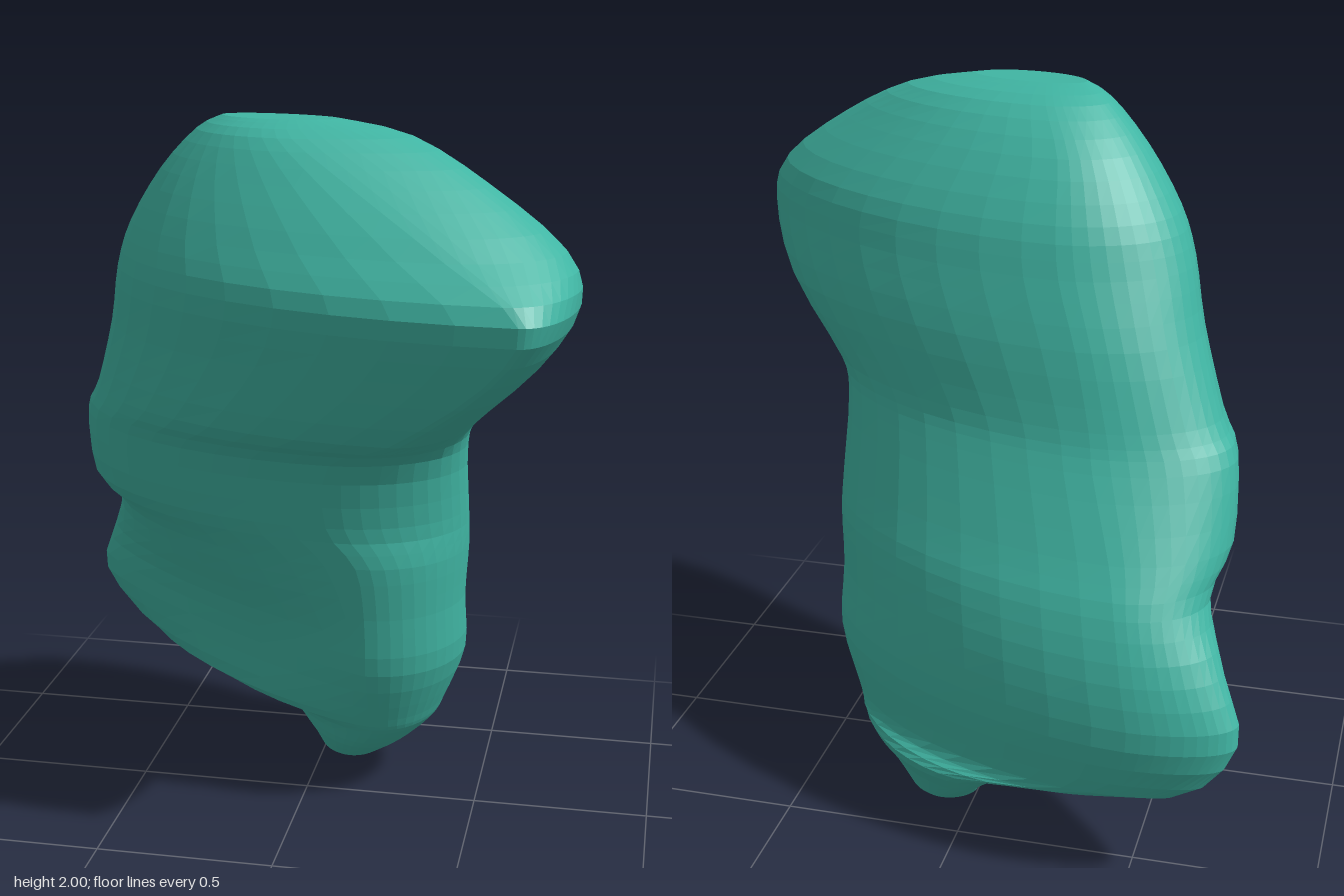
import * as THREE from 'three';

// Plan outline at each height: y, then the left, back, right and front extreme points as x, z pairs
const SECTIONS = [
  [0.03, -0.01, -0.31, 0.08, -0.39, 0.19, -0.3, 0.1, -0.17],
  [0.12, -0.07, -0.35, 0.0, -0.48, 0.28, -0.22, 0.15, -0.04],
  [0.21, -0.22, -0.45, -0.05, -0.56, 0.36, -0.18, 0.2, 0.05],
  [0.27, -0.62, -0.58, -0.4, -0.62, 0.39, -0.16, 0.2, 0.09],
  [0.44, -0.78, -0.57, -0.5, -0.67, 0.45, -0.12, 0.2, 0.17],
  [0.62, -0.73, -0.52, -0.48, -0.655, 0.45, -0.08, 0.2, 0.2],
  [0.78, -0.67, -0.42, -0.45, -0.6, 0.46, -0.06, 0.18, 0.23],
  [0.9, -0.71, -0.3, -0.42, -0.53, 0.46, -0.03, 0.1, 0.25],
  [1.1, -0.7, -0.22, -0.35, -0.42, 0.46, 0.03, 0.12, 0.32],
  [1.2, -0.65, -0.18, -0.33, -0.38, 0.5, 0.08, 0.3, 0.46],
  [1.4, -0.58, -0.1, -0.28, -0.33, 0.68, 0.2, 0.55, 0.59],
  [1.57, -0.54, -0.04, -0.22, -0.27, 0.77, 0.34, 0.64, 0.66],
  [1.7, -0.49, 0.0, -0.2, -0.22, 0.73, 0.33, 0.45, 0.56],
  [1.85, -0.39, 0.05, -0.18, -0.12, 0.53, 0.28, 0.2, 0.42],
  [1.96, -0.28, 0.1, -0.12, 0.0, 0.32, 0.2, 0.02, 0.31],
  [2.0, -0.2, 0.14, -0.1, 0.1, 0.12, 0.18, 0.0, 0.24],
];
const STEPS = 3;    // rings per section
const QUARTER = 11; // points per quarter outline

// Smooth blend of one value through four neighbouring sections
function blend(a, b, c, d, t) {
  const m0 = (c - a) / 2, m1 = (d - b) / 2, t2 = t * t, t3 = t2 * t;
  return (2 * t3 - 3 * t2 + 1) * b + (t3 - 2 * t2 + t) * m0 + (3 * t2 - 2 * t3) * c + (t3 - t2) * m1;
}

function sectionAt(s) {
  const last = SECTIONS.length - 1;
  const i = Math.min(Math.floor(s), last - 1);
  const pick = (k) => SECTIONS[Math.max(0, Math.min(last, k))];
  return SECTIONS[i].map((_, j) =>
    blend(pick(i - 1)[j], pick(i)[j], pick(i + 1)[j], pick(i + 2)[j], s - i));
}

// Four arcs join the extreme points: right, front, left, back
function outline(section) {
  const [y, lx, lz, bx, bz, rx, rz, fx, fz] = section;
  // the side above the foot is hollowed
  const hollow = 1.05 + 0.65 * Math.exp(-(((y - 0.45) / 0.25) ** 2));
  const ends = [[rx, rz], [fx, fz], [lx, lz], [bx, bz]];
  const power = [1, hollow, 1, 1.2];
  const points = [];
  ends.forEach(([ax, az], q) => {
    const [ex, ez] = ends[(q + 1) % 4];
    // corner about which this quarter turns
    const [cx, cz] = q % 2 === 0 ? [ex, az] : [ax, ez];
    for (let k = 0; k < QUARTER; k++) {
      const t = (k / QUARTER) * Math.PI / 2;
      const c = Math.cos(t) ** power[q], s = Math.sin(t) ** power[q];
      points.push([cx + (ax - cx) * c + (ex - cx) * s, y, cz + (az - cz) * c + (ez - cz) * s]);
    }
  });
  return points;
}

function bodyGeometry() {
  const rings = (SECTIONS.length - 1) * STEPS + 1;
  const n = QUARTER * 4;
  const positions = [], index = [];
  for (let r = 0; r < rings; r++) {
    for (const p of outline(sectionAt(r / STEPS))) positions.push(...p);
  }
  for (let r = 0; r < rings - 1; r++) {
    for (let i = 0; i < n; i++) {
      const a = r * n + i, b = r * n + (i + 1) % n;
      index.push(a, a + n, b, b, a + n, b + n);
    }
  }
  // end caps
  const bottom = rings * n, top = bottom + 1, rim = (rings - 1) * n;
  positions.push(0.1, 0, -0.32, -0.05, 2, 0.17);
  for (let i = 0; i < n; i++) {
    const j = (i + 1) % n;
    index.push(bottom, i, j, top, rim + j, rim + i);
  }
  const geometry = new THREE.BufferGeometry();
  geometry.setAttribute('position', new THREE.Float32BufferAttribute(positions, 3));
  geometry.setIndex(index);
  geometry.computeVertexNormals();
  return geometry;
}

export function createModel() {
  const group = new THREE.Group();
  const material = new THREE.MeshStandardMaterial({ color: 0x40b5a3, flatShading: true });
  const body = new THREE.Mesh(bodyGeometry(), material);
  body.name = 'body';
  group.add(body);
  return group;
}
